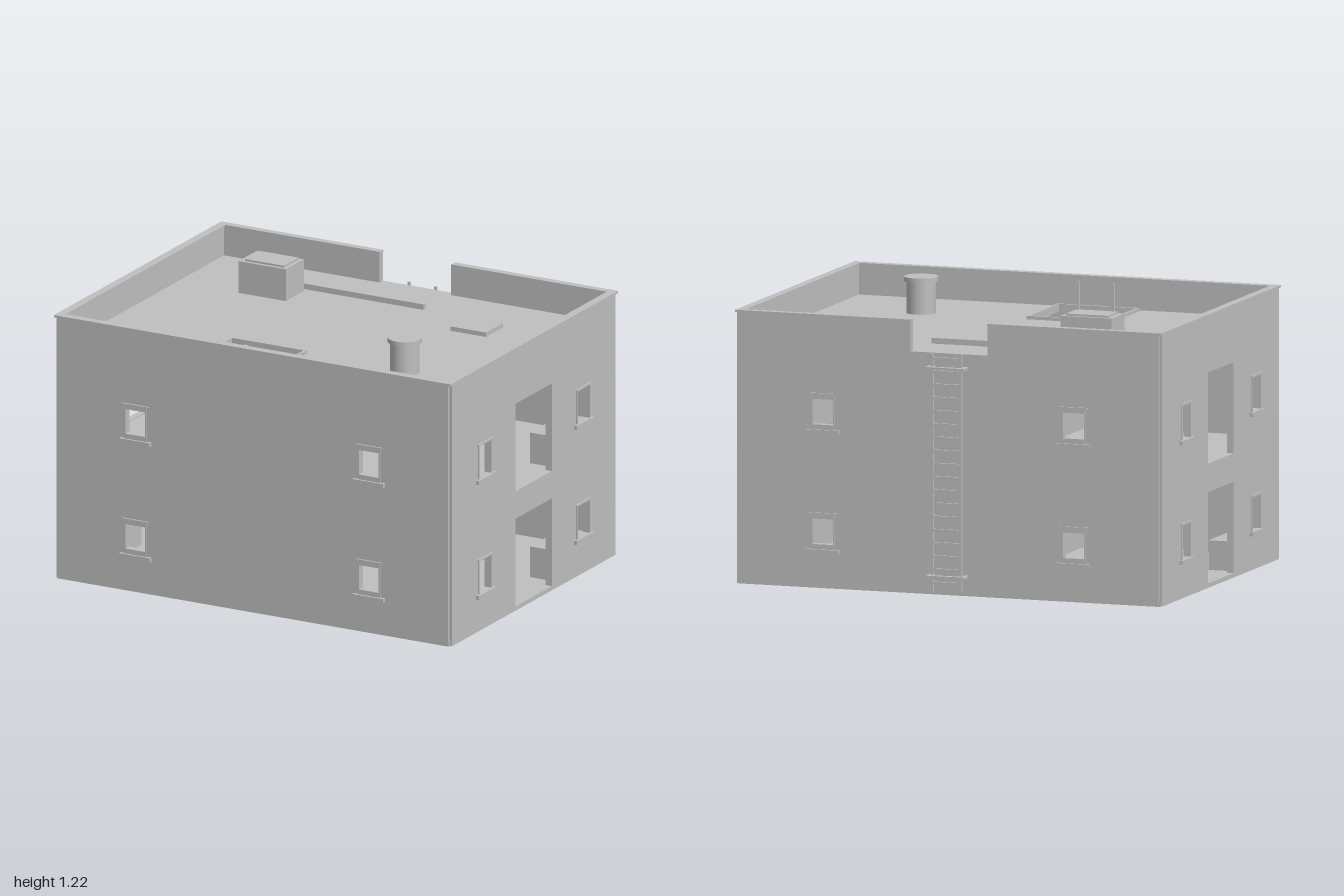
import * as THREE from 'three';

const FLOORS = [0.015, 0.54];
const T = 0.03; // wall thickness

export function createModel() {
  const model = new THREE.Group();
  const concrete = new THREE.MeshStandardMaterial({ color: 0xbfbfbf });
  concrete.name = 'grey concrete';

  const add = (name, geometry, parent = model) => {
    const mesh = new THREE.Mesh(geometry, concrete);
    mesh.name = name;
    parent.add(mesh);
    return mesh;
  };
  // Box given by its limits on each axis
  const box = (name, [x0, x1], [y0, y1], [z0, z1], parent) => {
    const g = new THREE.BoxGeometry(x1 - x0, y1 - y0, z1 - z0);
    g.translate((x0 + x1) / 2, (y0 + y1) / 2, (z0 + z1) / 2);
    return add(name, g, parent);
  };
  const rectPoints = ([u0, u1, v0, v1]) => [[u0, v0], [u1, v0], [u1, v1], [u0, v1]]
    .map(([u, v]) => new THREE.Vector2(u, v));
  // Flat panel with rectangular holes
  const panel = (points, holes, depth) => {
    const shape = new THREE.Shape(points);
    holes.forEach((h) => shape.holes.push(new THREE.Path(rectPoints(h).reverse())));
    return new THREE.ExtrudeGeometry(shape, { depth, bevelEnabled: false });
  };

  // Openings in the long and the short walls
  const longHoles = [], sideHoles = [];
  const longCentres = [-0.58, 0.58], sideCentres = [-0.412, 0.46];
  for (const f of FLOORS) {
    for (const u of longCentres) longHoles.push([u - 0.048, u + 0.048, f + 0.177, f + 0.289]);
    for (const u of sideCentres) sideHoles.push([u - 0.052, u + 0.052, f + 0.155, f + 0.305]);
    sideHoles.push([-0.137, 0.183, f + 0.005, f + 0.405]);
  }

  // Outer walls, stepped at the corners; the back one has a gap for the ladder
  add('frontWall', panel(rectPoints([-0.97, 0.97, 0, 1.19]), longHoles, T)).position.z = 0.732;
  const backOutline = [[-0.97, 0], [0.97, 0], [0.97, 1.19], [0.175, 1.19], [0.175, 1.06],
    [-0.18, 1.06], [-0.18, 1.19], [-0.97, 1.19]].map(([x, y]) => new THREE.Vector2(x, y));
  add('backWall', panel(backOutline, longHoles, T)).position.z = -0.718;
  for (const [name, x] of [['leftWall', 0.983], ['rightWall', -0.953]]) {
    const g = panel(rectPoints([-0.705, 0.749, 0, 1.19]), sideHoles, T);
    g.rotateY(-Math.PI / 2);
    add(name, g).position.x = x;
  }

  // Coping along the parapet
  const cy = [1.19, 1.2];
  box('frontCoping', [-0.986, 0.986], cy, [0.727, 0.766]);
  box('backCopingRight', [-0.986, -0.18], cy, [-0.722, -0.688]);
  box('backCopingLeft', [0.175, 0.986], cy, [-0.722, -0.688]);
  box('leftCoping', [0.948, 0.986], cy, [-0.722, 0.766]);
  box('rightCoping', [-0.986, -0.948], cy, [-0.722, 0.766]);

  // Floors and roof with its hatch opening
  box('groundFloor', [-0.975, 0.975], [0, 0.02], [-0.712, 0.756]);
  box('upperFloor', [-0.96, 0.96], [0.52, 0.54], [-0.7, 0.74]);
  const roof = panel(rectPoints([-0.96, 0.96, -0.74, 0.7]), [[-0.343, 0.013, -0.69, -0.332]], 0.02);
  roof.rotateX(-Math.PI / 2);
  add('roof', roof).position.y = 1.04;
  const curb = panel(rectPoints([-0.355, 0.025, -0.702, -0.32]), [[-0.343, 0.013, -0.69, -0.332]], 0.035);
  curb.rotateX(-Math.PI / 2);
  add('hatchCurb', curb).position.y = 1.04;

  // Window surrounds and sills
  const makeWindow = (halfW, y0, y1) => {
    const win = new THREE.Group();
    win.name = 'window';
    const frame = panel(rectPoints([-halfW - 0.007, halfW + 0.007, 0.15, 0.312]),
      [[-halfW, halfW, y0, y1]], 0.006);
    add('windowSurround', frame, win);
    box('lintel', [-0.066, 0.066], [0.309, 0.315], [-0.005, 0.008], win);
    box('windowSill', [-0.077, 0.077], [0.137, 0.155], [-0.01, 0.015], win);
    model.add(win);
    return win;
  };
  for (const f of FLOORS) {
    for (const u of longCentres) {
      makeWindow(0.048, 0.177, 0.289).position.set(u, f, 0.762);
      const back = makeWindow(0.048, 0.177, 0.289);
      back.position.set(u, f, -0.718);
      back.rotation.y = Math.PI;
    }
    for (const u of sideCentres) {
      for (const s of [-1, 1]) {
        const side = makeWindow(0.052, 0.155, 0.305);
        side.position.set(s * 0.983, f, u);
        side.rotation.y = s * Math.PI / 2;
      }
    }
  }

  // Inner partition with one doorway per storey
  const doorways = FLOORS.map((f) => [0.008, 0.19, f + 0.005, f + 0.325]);
  const partition = panel(rectPoints([-0.69, 0.735, 0.01, 1.05]), doorways, 0.015);
  partition.rotateY(-Math.PI / 2);
  add('partition', partition).position.x = -0.1;

  // Simple furniture
  box('lowerCabinet', [-0.1, 0], [0.02, 0.208], [0.33, 0.42]);
  box('upperCabinet', [-0.1, 0], [0.54, 0.79], [0.33, 0.42]);
  for (const y of [0.02, 0.54]) box('leftBench', [0.84, 0.953], [y, y + 0.14], [-0.5, -0.2]);
  box('rightBench', [-0.953, -0.85], [0.02, 0.15], [0.23, 0.5]);

  // Ladders: two rails and evenly spaced rungs
  const ladder = (name, x, z, half, y0, y1, count, rungTop) => {
    const group = new THREE.Group();
    group.name = name;
    for (const s of [-1, 1]) {
      const rx = x + s * half;
      box('rail', [rx - 0.006, rx + 0.006], [y0, y1], [z - 0.006, z + 0.006], group);
    }
    for (let i = 0; i < count; i++) {
      const y = y0 + 0.04 + (rungTop - y0 - 0.04) * i / (count - 1);
      box('rung', [x - half, x + half], [y - 0.006, y + 0.006], [z - 0.005, z + 0.005], group);
    }
    model.add(group);
    return group;
  };
  const outside = ladder('wallLadder', -0.003, -0.751, 0.066, 0.015, 1.063, 18, 1.04);
  for (const y of [0.085, 1.0]) {
    for (const s of [-1, 1]) {
      const x = -0.003 + s * 0.077;
      box('bracket', [x - 0.012, x + 0.012], [y - 0.005, y + 0.005], [-0.778, -0.717], outside);
    }
    box('bracketBar', [-0.09, 0.085], [y - 0.005, y + 0.005], [-0.778, -0.756], outside);
  }
  ladder('hatchLadder', -0.165, 0.67, 0.08, 0.54, 1.18, 9, 1.04);

  // Roof equipment
  box('ventHousing', [-0.645, -0.41], [1.05, 1.205], [-0.425, -0.265]);
  box('ventLid', [-0.622, -0.428], [1.2, 1.214], [-0.41, -0.28]);
  box('roofPlate', [0.415, 0.59], [1.05, 1.08], [-0.405, -0.255]);
  box('roofBeam', [-0.565, 0.17], [1.05, 1.085], [-0.475, -0.45]);
  add('flue', new THREE.CylinderGeometry(0.064, 0.064, 0.15, 32)).position.set(0.52, 1.125, 0.34);
  add('flueCap', new THREE.CylinderGeometry(0.075, 0.075, 0.02, 32)).position.set(0.52, 1.21, 0.34);

  return model;
}
